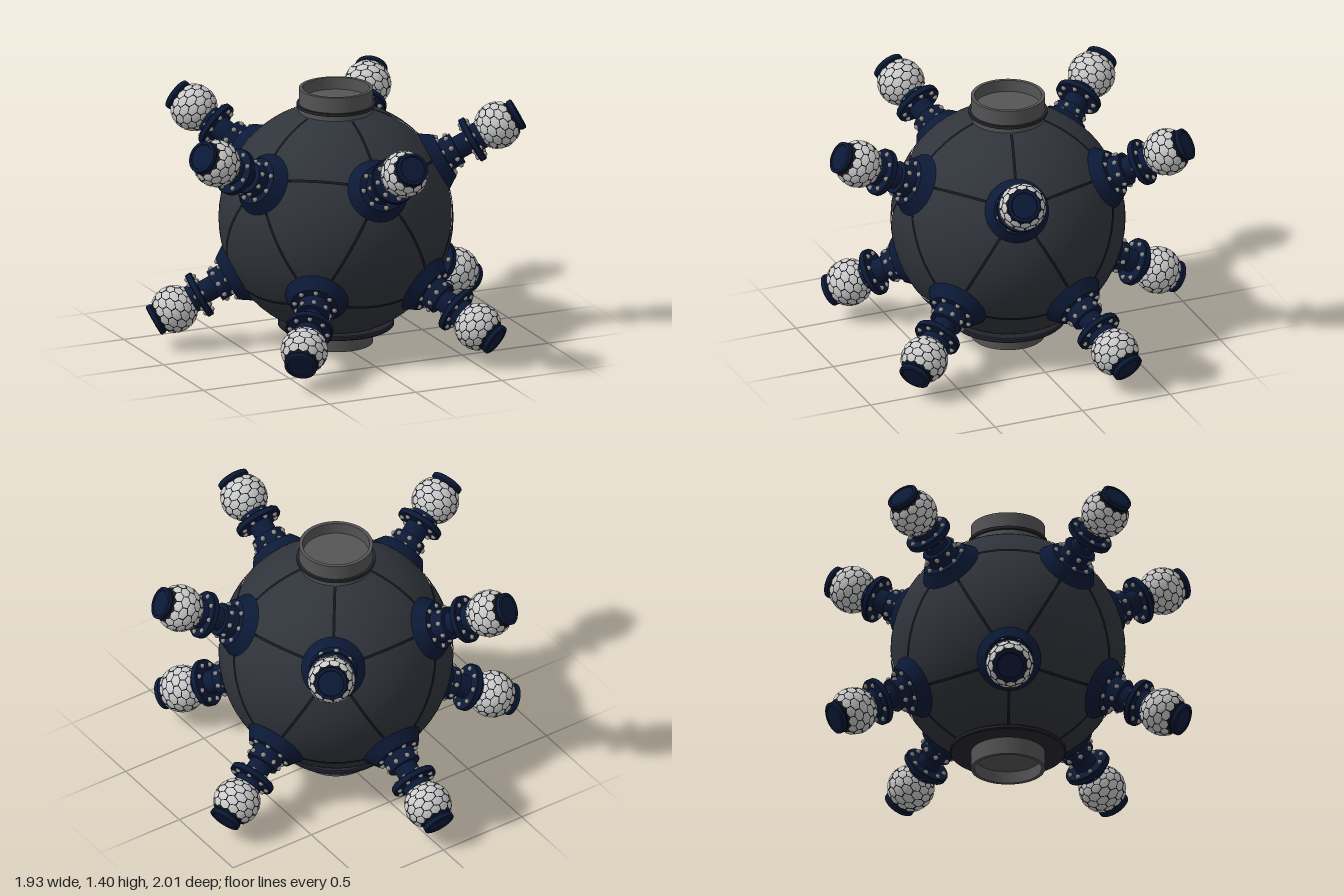
import * as THREE from 'three';
import { mergeGeometries, toCreasedNormals } from 'three/addons/utils/BufferGeometryUtils.js';

const CENTRE = 0.685, R = 0.619, ELEVATION = THREE.MathUtils.degToRad(29);
const paint = (color) => new THREE.MeshStandardMaterial({ color });
const shellMat = paint(0x30343b), seamMat = paint(0x15171a), navy = paint(0x0c1a38);
const collarMat = paint(0x555555), ringMat = paint(0x24242f), plateMat = paint(0xcccccc), boltMat = paint(0x909090);

function mesh(name, geometry, material) {
  const m = new THREE.Mesh(geometry, material);
  m.name = name;
  return m;
}

// Turned part with crisp edges; profile is [radius, height] from bottom to top
function turned(profile, segments = 36) {
  const points = profile.map(([r, y]) => new THREE.Vector2(r, y));
  return toCreasedNormals(new THREE.LatheGeometry(points, segments), 0.45);
}

// Geometry lying on a sphere, with radial normals
function sphericalGeometry(points, radius) {
  const g = new THREE.BufferGeometry();
  g.setAttribute('position', new THREE.Float32BufferAttribute(points.flatMap((p) => [p.x * radius, p.y * radius, p.z * radius]), 3));
  g.setAttribute('normal', new THREE.Float32BufferAttribute(points.flatMap((p) => [p.x, p.y, p.z]), 3));
  return g;
}

// Direction of an arm; azimuth runs from +z towards +x
function direction(azimuth, elevation) {
  const c = Math.cos(elevation);
  return new THREE.Vector3(c * Math.sin(azimuth), Math.sin(elevation), c * Math.cos(azimuth));
}

// Triangular hull panel, drawn in slightly from its edges to leave a seam
function panelGeometry(a, b, c, n = 12) {
  const mid = new THREE.Vector3().add(a).add(b).add(c).divideScalar(3);
  const at = (i, j) => new THREE.Vector3()
    .addScaledVector(a, 1 - (i + j) / n).addScaledVector(b, i / n).addScaledVector(c, j / n)
    .lerp(mid, 0.025).normalize();
  const points = [];
  for (let i = 0; i < n; i++) {
    for (let j = 0; j < n - i; j++) {
      points.push(at(i, j), at(i + 1, j), at(i, j + 1));
      if (i + j < n - 1) points.push(at(i + 1, j), at(i + 1, j + 1), at(i, j + 1));
    }
  }
  return sphericalGeometry(points, R);
}

// Staggered hexagonal plates covering a ball
function ballPlates(radius) {
  const points = [], around = 12, step = (Math.PI * 2) / around;
  const corners = [[0, -0.2], [0.26, -0.1], [0.26, 0.1], [0, 0.2], [-0.26, 0.1], [-0.26, -0.1]];
  for (let row = 0; row < 6; row++) {
    const lat = -0.9 + row * 0.3;
    for (let k = 0; k < around; k++) {
      const az = (k + (row % 2) / 2) * step;
      const rim = corners.map(([u, v]) => direction(az + u * 0.91, lat + v * 0.91));
      rim.forEach((p, i) => points.push(direction(az, lat), p, rim[(i + 1) % 6]));
    }
  }
  return sphericalGeometry(points, radius);
}

// Ring of round bolt heads about the arm axis
function boltRing(radius, height, count = 8) {
  const heads = [];
  for (let i = 0; i < count; i++) {
    const a = (i / count) * Math.PI * 2;
    heads.push(new THREE.SphereGeometry(0.014, 10, 6).translate(radius * Math.sin(a), height, radius * Math.cos(a)));
  }
  return mergeGeometries(heads);
}

// Shared arm parts, measured outwards along y from the hull centre
const armParts = [
  ['armBase', turned([[0.172, 0.565], [0.172, 0.59], [0.158, 0.61], [0.125, 0.66], [0.088, 0.66],
    [0.088, 0.735], [0.062, 0.735], [0.062, 0.81]]), navy],
  ['armFlange', turned([[0.06, 0.81], [0.122, 0.81], [0.126, 0.815], [0.126, 0.84], [0.122, 0.845],
    [0.075, 0.845], [0.075, 0.9]]), navy],
  ['armBolts', mergeGeometries([boltRing(0.107, 0.662), boltRing(0.088, 0.71), boltRing(0.098, 0.808), boltRing(0.1, 0.846)]), boltMat],
  ['ballCore', new THREE.SphereGeometry(0.122, 32, 20).translate(0, 0.98, 0), seamMat],
  ['ballPlates', ballPlates(0.126).translate(0, 0.98, 0), plateMat],
  ['endCap', turned([[0.08, 1.05], [0.08, 1.075], [0.086, 1.083], [0.086, 1.103], [0.08, 1.107],
    [0.07, 1.107], [0.066, 1.102], [0, 1.102]]), navy],
];

function arm(dir) {
  const g = new THREE.Group();
  g.name = 'arm';
  for (const [name, geometry, material] of armParts) g.add(mesh(name, geometry, material));
  g.quaternion.setFromUnitVectors(new THREE.Vector3(0, 1, 0), dir);
  return g;
}

export function createModel() {
  const model = new THREE.Group();
  model.name = 'armedSphere';
  const hull = new THREE.Group();
  hull.name = 'hull';
  hull.position.y = CENTRE;
  model.add(hull);
  hull.add(mesh('hullCore', new THREE.SphereGeometry(R - 0.012, 64, 40), seamMat));

  // Two staggered rings of five directions
  const fifth = (Math.PI * 2) / 5, upper = [], lower = [];
  for (let k = 0; k < 5; k++) {
    upper.push(direction(k * fifth, ELEVATION));
    lower.push(direction((k + 0.5) * fifth, -ELEVATION));
  }

  // Hull panels between the arms and the poles
  const north = new THREE.Vector3(0, 1, 0), south = new THREE.Vector3(0, -1, 0);
  for (let k = 0; k < 5; k++) {
    const n = (k + 1) % 5;
    for (const [a, b, c] of [
      [north, upper[k], upper[n]], [upper[k], lower[k], upper[n]],
      [upper[n], lower[k], lower[n]], [south, lower[n], lower[k]],
    ]) hull.add(mesh('hullPanel', panelGeometry(a, b, c), shellMat));
  }

  // Arms
  for (const dir of [...upper, ...lower]) hull.add(arm(dir));

  // Open collars at the top and the foot
  model.add(mesh('topCollar', turned([[0.195, 1.26], [0.195, 1.4], [0.176, 1.4], [0.176, 1.335], [0, 1.335]], 64), collarMat));
  model.add(mesh('topCollarRing', turned([[0.19, 1.3], [0.208, 1.3], [0.208, 1.316], [0.19, 1.316]], 64), ringMat));
  model.add(mesh('footCollar', turned([[0, 0.065], [0.176, 0.065], [0.176, 0], [0.195, 0], [0.195, 0.13]], 64), collarMat));
  model.add(mesh('footRing', turned([[0.19, 0.094], [0.3, 0.094], [0.306, 0.1], [0.306, 0.114], [0.3, 0.12], [0.19, 0.12]], 64), ringMat));
  return model;
}
